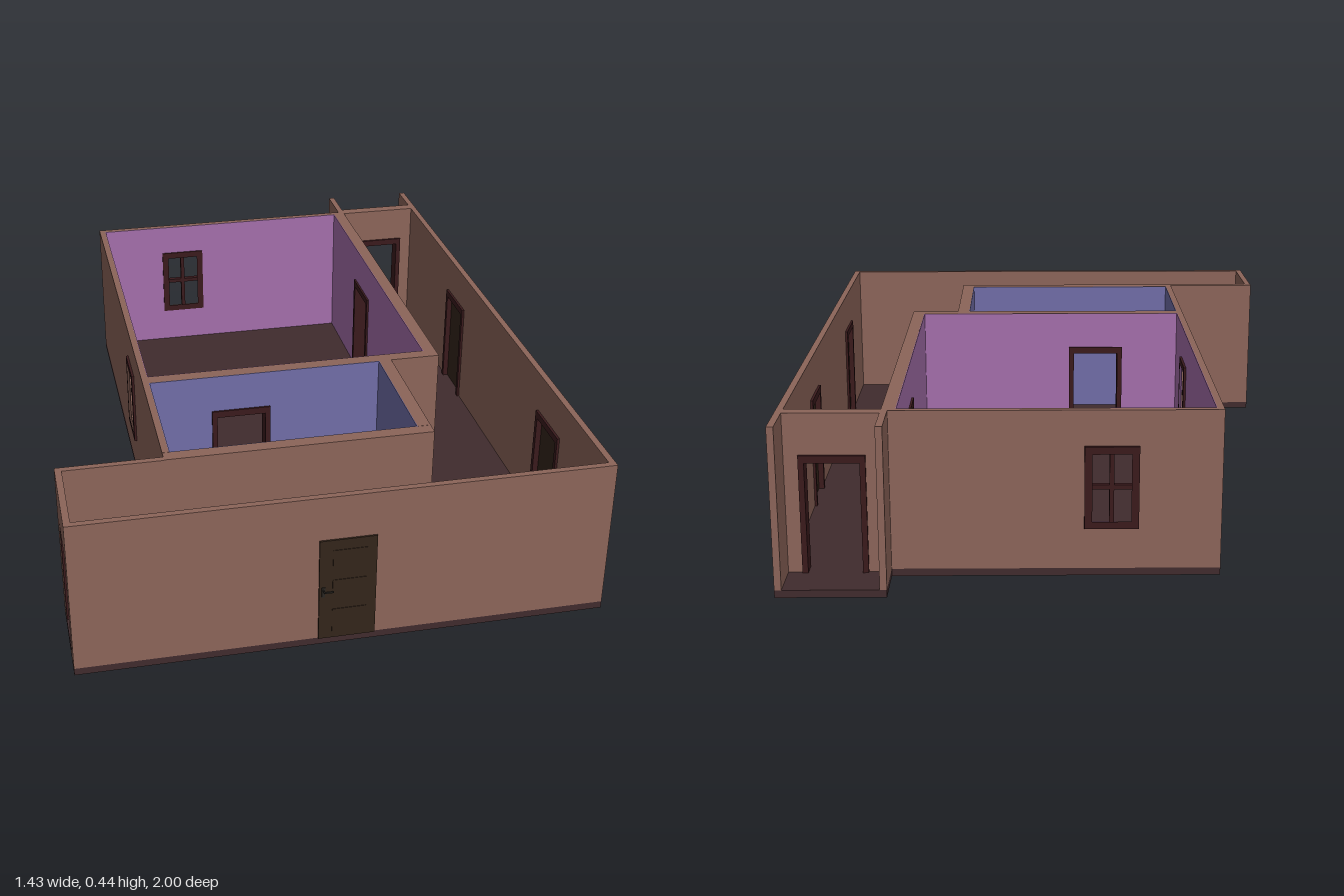
import * as THREE from 'three';

const F = 0.02, H = 0.445;          // floor thickness, wall top
const THIN = 0.018, THICK = 0.036;  // outer and dividing walls
const DOOR_TOP = 0.32, WIN_Y = 0.24;

const paint = (color) => new THREE.MeshStandardMaterial({ color });
const brown = paint(0x8b6459), purple = paint(0xa36eaa), blue = paint(0x706da7);
const floorMat = paint(0x402b2d), frameMat = paint(0x3a1a1c), doorMat = paint(0x33251a), metal = paint(0x2a2622);

const points = (list) => list.map(([x, y]) => new THREE.Vector2(x, y));

function rectPath(w, h, y) {
  return new THREE.Path(points([[-w / 2, y - h / 2], [-w / 2, y + h / 2], [w / 2, y + h / 2], [w / 2, y - h / 2]]));
}

function extrude(shape, depth) {
  return new THREE.ExtrudeGeometry(shape, { depth, bevelEnabled: false }).translate(0, 0, -depth / 2);
}

function add(parent, name, geometry, material, x = 0, y = 0, z = 0) {
  const mesh = new THREE.Mesh(geometry, material);
  mesh.name = name;
  mesh.position.set(x, y, z);
  parent.add(mesh);
  return mesh;
}

// Wall running along 'x' or 'z', centred on `at`, with door notches and window holes
function wall(parent, name, axis, at, t, from, to, { doors = [], windows = [], mat = brown } = {}) {
  const outline = [[from, F]];
  for (const d of [...doors].sort((a, b) => a - b)) {
    outline.push([d - 0.075, F], [d - 0.075, DOOR_TOP], [d + 0.075, DOOR_TOP], [d + 0.075, F]);
  }
  outline.push([to, F], [to, H], [from, H]);
  const shape = new THREE.Shape(points(outline));
  for (const w of windows) {
    const hole = rectPath(0.12, 0.2, WIN_Y);
    shape.holes.push(new THREE.Path(hole.getPoints().map((p) => new THREE.Vector2(p.x + w, p.y))));
  }
  const mesh = add(parent, name, extrude(shape, t), mat);
  if (axis === 'x') mesh.position.z = at;
  else {
    mesh.rotation.y = -Math.PI / 2;
    mesh.position.x = at;
  }
}

// Group whose local +z points outward
function placed(parent, name, x, z, turn) {
  const g = new THREE.Group();
  g.name = name;
  g.position.set(x, 0, z);
  g.rotation.y = turn;
  parent.add(g);
  return g;
}

// Door surround reaching from z0 to z1
function doorFrame(g, z0, z1) {
  const shape = new THREE.Shape(points([
    [-0.085, F], [-0.07, F], [-0.07, 0.315], [0.07, 0.315], [0.07, F], [0.085, F], [0.085, 0.335], [-0.085, 0.335],
  ].reverse()));
  add(g, 'doorFrame', extrude(shape, z1 - z0), frameMat, 0, 0, (z0 + z1) / 2);
}

// Closed door with panels and lever handle, set in an outer wall
function closedDoor(parent, name, x, z, turn) {
  const g = placed(parent, name, x, z, turn);
  doorFrame(g, -0.016, 0.006);
  add(g, 'doorLeaf', new THREE.BoxGeometry(0.15, 0.3, 0.014), doorMat, 0, 0.17, 0.007);
  for (const y of [0.075, 0.165, 0.255]) {
    add(g, 'doorPanel', new THREE.BoxGeometry(0.09, 0.07, 0.002), doorMat, 0.005, y, 0.0145);
  }
  add(g, 'handlePlate', new THREE.BoxGeometry(0.009, 0.03, 0.002), metal, -0.064, 0.165, 0.015);
  const stem = add(g, 'handleStem', new THREE.CylinderGeometry(0.002, 0.002, 0.014, 8), metal, -0.064, 0.172, 0.021);
  stem.rotation.x = Math.PI / 2;
  add(g, 'handleLever', new THREE.BoxGeometry(0.026, 0.004, 0.004), metal, -0.053, 0.172, 0.027);
}

function openDoorway(parent, name, x, z, turn, z0, z1) {
  doorFrame(placed(parent, name, x, z, turn), z0, z1);
}

// Four-pane window frame without glass
function windowFrame(parent, name, x, z, turn) {
  const g = placed(parent, name, x, z, turn);
  const shape = new THREE.Shape(rectPath(0.14, 0.22, WIN_Y).getPoints());
  shape.holes.push(rectPath(0.1, 0.18, WIN_Y));
  add(g, 'windowSurround', extrude(shape, 0.034), frameMat);
  add(g, 'windowPost', new THREE.BoxGeometry(0.012, 0.19, 0.016), frameMat, 0, WIN_Y, 0);
  add(g, 'windowBar', new THREE.BoxGeometry(0.11, 0.012, 0.016), frameMat, 0, WIN_Y, 0);
}

export function createModel() {
  const house = new THREE.Group();
  house.name = 'house';

  // Floor slab following the outer outline
  const plan = [[-0.715, 0.975], [0.695, 0.975], [0.695, -1], [0.414, -1], [0.414, -0.861],
    [-0.435, -0.861], [-0.435, 0.698], [-0.715, 0.698]];
  const slab = new THREE.ExtrudeGeometry(new THREE.Shape(points(plan.map(([x, z]) => [x, -z]))),
    { depth: F, bevelEnabled: false }).rotateX(-Math.PI / 2);
  add(house, 'floor', slab, floorMat);

  // Outer walls
  wall(house, 'frontWall', 'x', 0.966, THIN, -0.715, 0.695, { doors: [-0.01] });
  wall(house, 'sideWall', 'z', 0.686, THIN, -1, 0.957, { doors: [-0.295, 0.555] });
  wall(house, 'corridorEndWall', 'z', -0.706, THIN, 0.716, 0.957, { doors: [0.835] });
  wall(house, 'corridorBackWall', 'x', 0.707, THIN, -0.715, -0.435);
  wall(house, 'windowSideWall', 'z', -0.426, THIN, -0.861, 0.677, { windows: [-0.01] });
  wall(house, 'backWall', 'x', -0.852, THIN, -0.417, 0.395, { windows: [-0.152] });
  wall(house, 'porchSideWall', 'z', 0.423, THIN, -1, -0.861);

  // Dividing walls
  wall(house, 'porchWall', 'x', -0.862, THICK, 0.431, 0.677, { doors: [0.555] });
  wall(house, 'corridorWall', 'z', 0.413, THICK, -0.861, 0.288, { doors: [-0.435] });
  wall(house, 'roomDivider', 'x', 0.27, THICK, -0.417, 0.395, { doors: [-0.155] });
  wall(house, 'smallRoomSideWall', 'z', 0.27, THICK, 0.288, 0.677);
  wall(house, 'smallRoomFrontWall', 'x', 0.696, THICK, -0.435, 0.288);

  // Coloured wall facings inside the two rooms
  const lining = 0.002;
  const big = (axis, at, a, b, o) => wall(house, 'largeRoomLining', axis, at, lining, a, b, { ...o, mat: purple });
  big('x', -0.842, -0.417, 0.395, { windows: [-0.152] });
  big('x', 0.251, -0.417, 0.395, { doors: [-0.155] });
  big('z', -0.416, -0.841, 0.25, { windows: [-0.01] });
  big('z', 0.394, -0.841, 0.25, { doors: [-0.435] });
  const small = (axis, at, a, b, o) => wall(house, 'smallRoomLining', axis, at, lining, a, b, { ...o, mat: blue });
  small('x', 0.289, -0.417, 0.252, { doors: [-0.155] });
  small('x', 0.677, -0.417, 0.252);
  small('z', -0.416, 0.29, 0.676);
  small('z', 0.251, 0.29, 0.676);

  // Doors and doorways
  const quarter = Math.PI / 2;
  closedDoor(house, 'frontDoor', -0.01, 0.966, 0);
  for (const z of [-0.295, 0.555]) closedDoor(house, 'sideDoor', 0.686, z, quarter);
  openDoorway(house, 'corridorEndDoorway', -0.706, 0.835, -quarter, -0.016, 0.008);
  openDoorway(house, 'porchDoorway', 0.555, -0.862, Math.PI, -0.025, 0.025);
  openDoorway(house, 'largeRoomDoorway', 0.413, -0.435, quarter, -0.026, 0.026);
  openDoorway(house, 'smallRoomDoorway', -0.155, 0.27, 0, -0.026, 0.026);

  // Windows
  windowFrame(house, 'backWindow', -0.152, -0.853, Math.PI);
  windowFrame(house, 'sideWindow', -0.425, -0.01, -quarter);

  return house;
}
